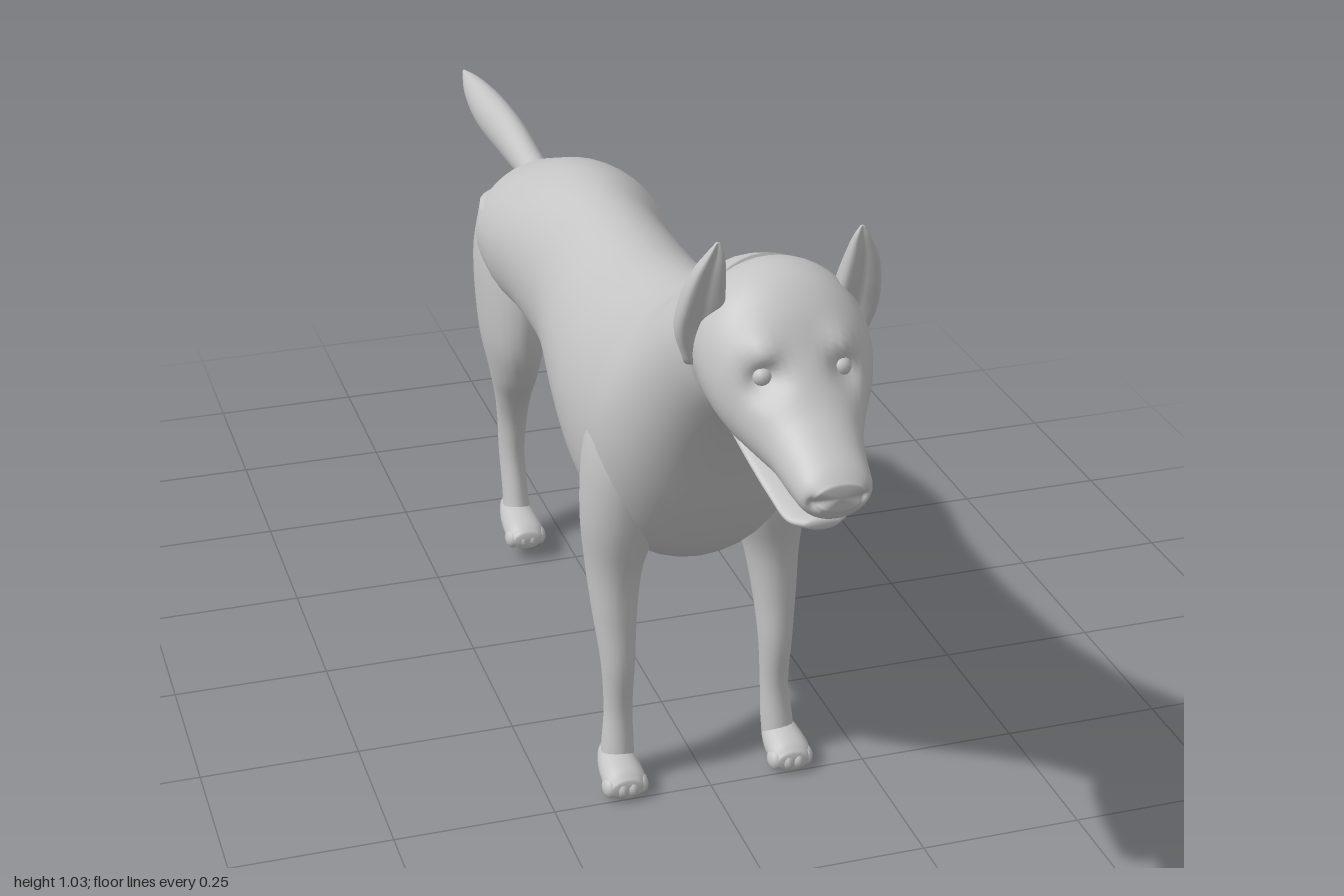
import * as THREE from 'three';

const V = (x, y, z) => new THREE.Vector3(x, y, z);
const coat = new THREE.MeshStandardMaterial({ color: 0xc4c4c4 });
coat.name = 'grey coat';

// Smooth closed skin through rings { c: centre, u: half width, v: half height }.
function loft(rings, { sides = 32, steps = 5, section, warp } = {}) {
  const curve = (k) => new THREE.CatmullRomCurve3(rings.map((r) => r[k]), false, 'catmullrom', 0.5);
  const [C, U, W] = ['c', 'u', 'v'].map(curve);
  const n = (rings.length - 1) * steps;
  const pts = [];
  for (let i = 0; i <= n; i++) {
    const t = i / n, c = C.getPoint(t), u = U.getPoint(t), v = W.getPoint(t);
    for (let j = 0; j < sides; j++) {
      const a = (j / sides) * Math.PI * 2;
      let p = [Math.cos(a), Math.sin(a)];
      if (section) p = section(p[0], p[1], t);
      pts.push(c.clone().addScaledVector(u, p[0]).addScaledVector(v, p[1]));
    }
  }
  pts.push(rings[0].c.clone(), rings[rings.length - 1].c.clone());
  if (warp) pts.forEach(warp);
  const idx = [], first = pts.length - 2, last = pts.length - 1;
  for (let j = 0; j < sides; j++) {
    const k = (j + 1) % sides;
    for (let i = 0; i < n; i++) {
      const a = i * sides + j, b = i * sides + k;
      idx.push(a, b, a + sides, b, b + sides, a + sides);
    }
    idx.push(first, k, j, last, n * sides + j, n * sides + k);
  }
  // Turn the skin outwards if the rings run the other way
  let volume = 0;
  const x = V();
  for (let i = 0; i < idx.length; i += 3) {
    volume += pts[idx[i]].dot(x.crossVectors(pts[idx[i + 1]], pts[idx[i + 2]]));
  }
  if (volume < 0) idx.reverse();
  const g = new THREE.BufferGeometry().setFromPoints(pts);
  g.setIndex(idx);
  g.computeVertexNormals();
  return g;
}

// Ring spanned between a top and a bottom point: [zTop, yTop, zBottom, yBottom, halfWidth]
const span = (x = 0) => ([zt, yt, zb, yb, w]) => ({
  c: V(x, (yt + yb) / 2, (zt + zb) / 2), u: V(w, 0, 0), v: V(0, (yt - yb) / 2, (zt - zb) / 2),
});
// Level ring: [x, y, z, halfWidth, halfDepth]
const level = ([x, y, z, rx, rz]) => ({ c: V(x, y, z), u: V(rx, 0, 0), v: V(0, 0, rz) });

// Push the skin by d along z around a point mirrored in x
const dent = (p, x, y, z, r, d) => {
  const q = (Math.abs(p.x) - x) ** 2 + (p.y - y) ** 2 + (p.z - z) ** 2;
  p.z += d * Math.exp(-q / (r * r));
};

function mesh(name, geometry, parent) {
  const m = new THREE.Mesh(geometry, coat);
  m.name = name;
  parent.add(m);
  return m;
}

function paw(name, x, y, z, length, side, parent) {
  const g = new THREE.Group();
  g.name = name;
  parent.add(g);
  const rows = [[0, 0.06, 0, 0.012, 0.022], [0.35, 0.058, 0.35, 0.002, 0.031],
    [0.75, 0.048, 0.75, 0, 0.033], [0.95, 0.034, 0.95, 0.006, 0.024]];
  mesh('pad', loft(rows.map(([a, b, c, d, w]) =>
    span(side * x)([z + a * length, y + b, z + c * length, y + d, w])), { sides: 20 }), g);
  for (let i = 0; i < 4; i++) {
    const toe = mesh('toe', new THREE.SphereGeometry(0.0115, 14, 10), g);
    const off = (i - 1.5) * 0.0165;
    toe.scale.set(1, 1.45, 1.6);
    toe.position.set(side * x + off, y + 0.018, z + length * 0.84 - Math.abs(off) * 0.35);
  }
}

export function createModel() {
  const dog = new THREE.Group();
  dog.name = 'dog';

  // Trunk from rump to neck, with a keeled chest
  const trunk = [
    [-0.458, 0.655, -0.458, 0.60, 0.045], [-0.435, 0.685, -0.445, 0.54, 0.098], [-0.36, 0.715, -0.37, 0.49, 0.14],
    [-0.28, 0.745, -0.27, 0.475, 0.15], [-0.17, 0.767, -0.17, 0.475, 0.142], [-0.05, 0.765, -0.05, 0.44, 0.127],
    [0.10, 0.757, 0.10, 0.385, 0.145], [0.20, 0.766, 0.22, 0.345, 0.157], [0.32, 0.788, 0.33, 0.33, 0.16],
    [0.40, 0.81, 0.45, 0.38, 0.165], [0.47, 0.838, 0.53, 0.48, 0.155], [0.54, 0.89, 0.60, 0.60, 0.135],
    [0.61, 0.935, 0.66, 0.685, 0.12], [0.68, 0.965, 0.72, 0.74, 0.108],
  ];
  mesh('trunk', loft(trunk.map(span()), {
    sides: 40,
    section: (x, y) => [x * (1 - 0.1 * y * Math.abs(y)), y],
  }), dog);

  // Skull and muzzle with eye sockets and nostrils
  const head = new THREE.Group();
  head.name = 'head';
  dog.add(head);
  const skull = [
    [0.62, 0.92, 0.69, 0.74, 0.095], [0.70, 0.97, 0.74, 0.745, 0.116], [0.76, 0.972, 0.78, 0.737, 0.12],
    [0.81, 0.94, 0.815, 0.73, 0.11], [0.85, 0.885, 0.85, 0.725, 0.088], [0.89, 0.84, 0.895, 0.72, 0.067],
    [0.93, 0.812, 0.94, 0.71, 0.057], [0.97, 0.788, 0.972, 0.712, 0.05], [0.992, 0.768, 0.988, 0.732, 0.034],
  ];
  mesh('skull', loft(skull.map(span()), {
    sides: 48, steps: 7,
    warp: (p) => {
      dent(p, 0.055, 0.858, 0.855, 0.024, -0.02);
      dent(p, 0.055, 0.895, 0.83, 0.022, 0.012);
      dent(p, 0.032, 0.745, 0.985, 0.009, -0.014);
    },
  }), head);

  // Open lower jaw
  const jaw = [[0.73, 0.775, 0.75, 0.742, 0.075], [0.80, 0.735, 0.81, 0.708, 0.062],
    [0.86, 0.708, 0.865, 0.685, 0.052], [0.905, 0.694, 0.91, 0.672, 0.044], [0.93, 0.689, 0.93, 0.674, 0.022]];
  mesh('lowerJaw', loft(jaw.map(span()), { sides: 24 }), head);

  // Tail, thickest past its middle
  const tail = [[-0.42, 0.665, -0.42, 0.612, 0.03], [-0.50, 0.668, -0.50, 0.612, 0.026],
    [-0.65, 0.685, -0.65, 0.607, 0.03], [-0.80, 0.682, -0.80, 0.605, 0.031],
    [-0.92, 0.672, -0.92, 0.62, 0.02], [-1.0, 0.658, -1.0, 0.65, 0.003]];
  mesh('tail', loft(tail.map(span()), { sides: 20 }), dog);

  // Paired parts
  const ear = [[0.098, 0.84, 0.725, 0.028, 0.03], [0.108, 0.89, 0.735, 0.034, 0.042],
    [0.11, 0.94, 0.752, 0.03, 0.042], [0.107, 0.985, 0.768, 0.022, 0.03],
    [0.102, 1.015, 0.777, 0.012, 0.015], [0.10, 1.032, 0.78, 0.003, 0.004]];
  const foreleg = [[0.095, 0.64, 0.41, 0.055, 0.075], [0.108, 0.55, 0.405, 0.064, 0.085],
    [0.115, 0.45, 0.402, 0.062, 0.07], [0.125, 0.36, 0.397, 0.044, 0.052], [0.128, 0.28, 0.41, 0.034, 0.038],
    [0.127, 0.20, 0.424, 0.026, 0.03], [0.127, 0.12, 0.425, 0.022, 0.024], [0.13, 0.06, 0.432, 0.025, 0.026],
    [0.132, 0.025, 0.44, 0.025, 0.026]];
  const hindleg = [[0.075, 0.65, -0.34, 0.06, 0.08], [0.082, 0.55, -0.335, 0.066, 0.112],
    [0.09, 0.43, -0.325, 0.054, 0.1], [0.088, 0.35, -0.327, 0.041, 0.068], [0.084, 0.29, -0.35, 0.031, 0.046],
    [0.08, 0.23, -0.374, 0.025, 0.04], [0.08, 0.16, -0.379, 0.022, 0.034], [0.08, 0.09, -0.36, 0.022, 0.03],
    [0.08, 0.045, -0.345, 0.025, 0.032]];
  for (const side of [1, -1]) {
    const name = side > 0 ? 'left' : 'right';
    const mirrored = (rows) => rows.map(([x, ...rest]) => level([side * x, ...rest]));
    // Ear cupped towards the front and outside
    mesh(name + 'Ear', loft(mirrored(ear), {
      sides: 28,
      section: (x, y) => [x, y > 0 ? y * (0.1 + 0.5 * Math.abs(x)) : y],
    }), head);
    const eye = mesh(name + 'Eye', new THREE.SphereGeometry(0.014, 16, 12), head);
    eye.position.set(side * 0.055, 0.86, 0.834);
    mesh(name + 'Foreleg', loft(mirrored(foreleg), { sides: 24 }), dog);
    mesh(name + 'HindLeg', loft(mirrored(hindleg), { sides: 24 }), dog);
    paw(name + 'ForePaw', 0.134, 0, 0.412, 0.098, side, dog);
    paw(name + 'HindPaw', 0.082, 0.018, -0.378, 0.12, side, dog);
  }
  return dog;
}
